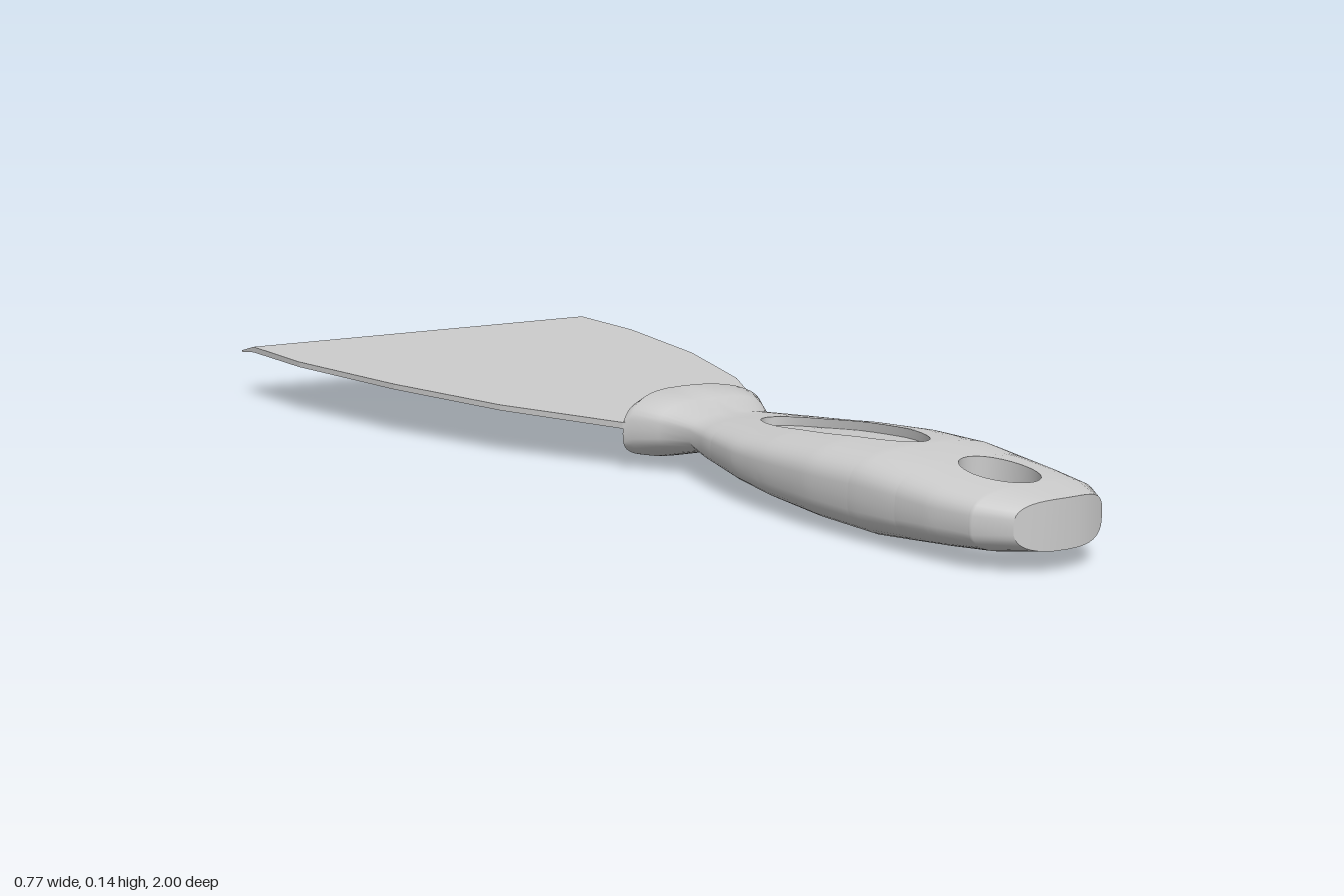
import * as THREE from 'three';
import { mergeVertices } from 'three/addons/utils/BufferGeometryUtils.js';

// Handle stations: z, half width, top y, bottom y
const STATIONS = [
  [0.05, 0.145, 0.112, 0.014], [0.065, 0.138, 0.13, 0.014], [0.11, 0.112, 0.12, 0.027],
  [0.165, 0.086, 0.103, 0.04], [0.23, 0.106, 0.108, 0.033], [0.36, 0.135, 0.118, 0.02],
  [0.45, 0.145, 0.127, 0.011], [0.58, 0.151, 0.136, 0.003], [0.7, 0.146, 0.138, 0],
  [0.85, 0.133, 0.124, 0.014], [0.93, 0.119, 0.117, 0.022], [0.98, 0.085, 0.109, 0.033],
];
// Elliptical openings: centre z, radii, segments
const HOLE = { c: 0.852, rx: 0.05, rz: 0.072, n: 32 };
const RECESS = { c: 0.475, rx: 0.062, rz: 0.205, n: 40 };
const RECESS_DEPTH = 0.015;
const N = 20; // points around half a section
const clamp = THREE.MathUtils.clamp;

function station(z) {
  let i = 0;
  while (i < STATIONS.length - 2 && z > STATIONS[i + 1][0]) i++;
  const a = STATIONS[i], b = STATIONS[i + 1], t = clamp((z - a[0]) / (b[0] - a[0]), 0, 1);
  const [, w, top, bottom] = a.map((v, k) => v + (b[k] - v) * t);
  return { w, mid: (top + bottom) / 2, h: (top - bottom) / 2 };
}

// Height of the handle surface; side is 1 on top, -1 below
function surfaceY(x, z, side) {
  const { w, mid, h } = station(z);
  return mid + side * h * Math.cbrt(Math.max(0, 1 - (Math.abs(x) / w) ** 3));
}

const halfOpening = (e, z) => e.rx * Math.sqrt(Math.max(0, 1 - ((z - e.c) / e.rz) ** 2));

// Point j of the +x half section, running from top centre round to bottom centre
function sectionPoint(z, j) {
  const side = j <= N / 2 ? 1 : -1, { w, mid, h } = station(z);
  const inner = Math.max(halfOpening(HOLE, z), side > 0 ? halfOpening(RECESS, z) : 0);
  const f = j === N ? 0 : Math.sin((j / N) * Math.PI) ** (2 / 3);
  const x = inner + (w - inner) * f, y = surfaceY(x, z, side);
  // Both ends bow outwards, the top of the collar most
  const bulge = 1 - (x / w) ** 2, lift = (y - mid) / h * 0.5 + 0.5;
  const bow = 0.02 * clamp((z - 0.94) / 0.04, 0, 1)
    - (0.02 + 0.045 * lift) * clamp((0.09 - z) / 0.04, 0, 1);
  return [x, y, z + bow * bulge];
}

// Quad grid from a point rule
function grid(ni, nj, point, flip = false, out = []) {
  for (let i = 0; i < ni; i++) for (let j = 0; j < nj; j++) {
    const a = point(i, j), b = point(i + 1, j), c = point(i + 1, j + 1), d = point(i, j + 1);
    out.push(...(flip ? [a, c, b, a, d, c] : [a, b, c, a, c, d]).flat());
  }
  return out;
}
const mirrored = (point) => (i, j) => { const [x, y, z] = point(i, j); return [-x, y, z]; };
function symmetric(ni, nj, point, flip = false) {
  return grid(ni, nj, mirrored(point), !flip, grid(ni, nj, point, flip));
}

const material = new THREE.MeshStandardMaterial({ color: 0xcccccc });
function mesh(name, positions, smooth) {
  let g = new THREE.BufferGeometry();
  g.setAttribute('position', new THREE.Float32BufferAttribute(positions, 3));
  if (smooth) g = mergeVertices(g, 1e-5);
  g.computeVertexNormals();
  const m = new THREE.Mesh(g, material);
  m.name = name;
  return m;
}

const ellipse = (e, i, r = 1) => {
  const a = (i % e.n) / e.n * Math.PI * 2;
  return [e.rx * r * Math.sin(a), e.c + e.rz * r * Math.cos(a)];
};

export function createModel() {
  const model = new THREE.Group();
  const handle = new THREE.Group();
  handle.name = 'handle';

  // Handle skin, with extra stations that follow the openings
  const zs = STATIONS.map((s) => s[0]);
  for (const e of [HOLE, RECESS])
    for (let i = 0; i <= e.n / 2; i++) zs.push(ellipse(e, i)[1]);
  zs.sort((a, b) => a - b);
  const rows = zs.filter((z, i) => i === 0 || z - zs[i - 1] > 1e-4);
  handle.add(mesh('handleBody', symmetric(rows.length - 1, N, (i, j) => sectionPoint(rows[i], j)), true));

  // End faces: the collar face is notched back along the blade
  const cap = (z, notch) => (i, k) => {
    const top = sectionPoint(z, i), bottom = sectionPoint(z, N - i);
    if (k !== 1) return k ? bottom : top;
    return notch ? [top[0], i === N / 2 ? top[1] : 0.078, 0.05]
      : top.map((v, n) => (v + bottom[n]) / 2);
  };
  handle.add(mesh('collarFace', symmetric(N / 2, 2, cap(0.05, true)), false));
  handle.add(mesh('buttFace', symmetric(N / 2, 2, cap(0.98, false), true), true));

  // Hanging hole through the handle
  handle.add(mesh('hangingHole', grid(HOLE.n, 1, (i, j) => {
    const [x, z] = ellipse(HOLE, i);
    return [x, surfaceY(x, z, j ? -1 : 1), z];
  }), true));

  // Shallow thumb recess on top
  handle.add(mesh('recessWall', grid(RECESS.n, 1, (i, j) => {
    const [x, z] = ellipse(RECESS, i);
    return [x, surfaceY(x, z, 1) - j * RECESS_DEPTH, z];
  }), true));
  handle.add(mesh('recessFloor', grid(RECESS.n, 6, (i, j) => {
    const [x, z] = ellipse(RECESS, i, j / 6);
    return [x, surfaceY(x, z, 1) - RECESS_DEPTH, z];
  }, true), true));
  model.add(handle);

  // Blade stations: z, half width, top y, bottom y; bevelled to a thin edge
  const blade = [
    [-1, 0.385, 0.091, 0.088], [-0.945, 0.384, 0.105, 0.094], [-0.74, 0.38, 0.102, 0.092],
    [-0.44, 0.33, 0.097, 0.087], [-0.18, 0.255, 0.09, 0.08], [0.05, 0.145, 0.083, 0.072],
    [0.09, 0.11, 0.082, 0.072],
  ];
  const bladePoint = (i, j) => {
    const [z, w, top, bottom] = blade[i];
    return [j === 0 || j === 3 ? 0 : w, j < 2 ? top : bottom, z];
  };
  const bladePositions = symmetric(blade.length - 1, 3, bladePoint);
  // Thin front face of the cutting edge
  const [z, w, top, bottom] = blade[0];
  grid(1, 1, (i, j) => [i ? w : -w, j ? bottom : top, z], false, bladePositions);
  model.add(mesh('blade', bladePositions, false));

  return model;
}
